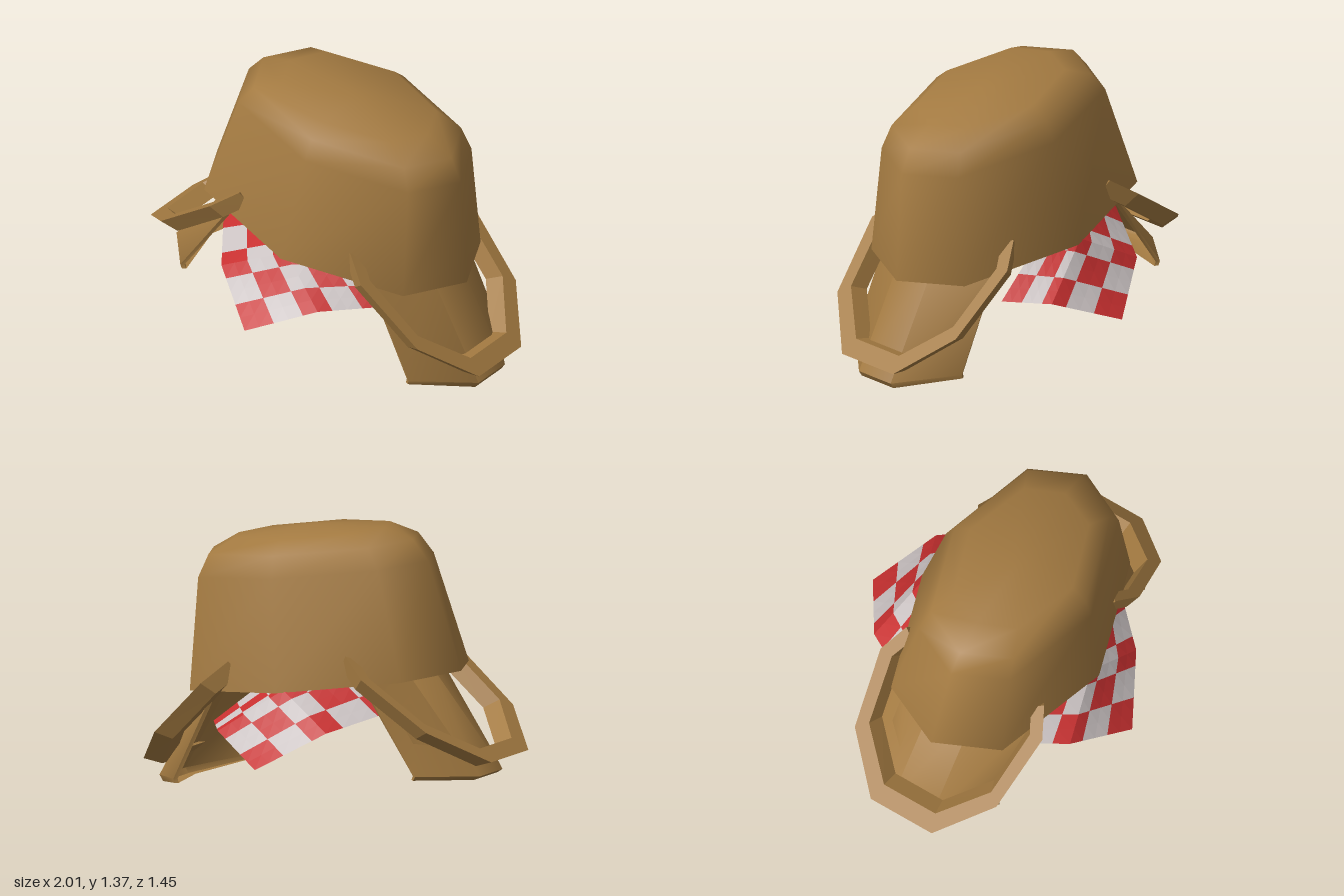
import * as THREE from 'three';
import { toCreasedNormals } from 'three/addons/utils/BufferGeometryUtils.js';

const material = (name, color) => {
  const m = new THREE.MeshStandardMaterial({ color, side: THREE.DoubleSide });
  m.name = name;
  return m;
};

// Skin a list of equal-length closed loops, cap both ends, smooth below the crease angle
function loft(loops, crease) {
  const n = loops[0].length, pos = loops.flat(2), idx = [];
  for (let r = 0; r < loops.length - 1; r++) {
    for (let i = 0; i < n; i++) {
      const a = r * n + i, b = r * n + (i + 1) % n;
      idx.push(a, a + n, b, b, a + n, b + n);
    }
  }
  for (const r of [0, loops.length - 1]) {
    const c = pos.length / 3;
    for (let k = 0; k < 3; k++) pos.push(loops[r].reduce((s, p) => s + p[k], 0) / n);
    for (let i = 0; i < n; i++) {
      const a = r * n + i, b = r * n + (i + 1) % n;
      idx.push(c, ...(r === 0 ? [a, b] : [b, a]));
    }
  }
  const g = new THREE.BufferGeometry();
  g.setAttribute('position', new THREE.Float32BufferAttribute(pos, 3));
  g.setIndex(idx);
  return toCreasedNormals(g, crease);
}

// Upturned basket body: eight-sided oval loops [height, half length, half width]
function basketGeometry() {
  const oval = [[1, 0], [0.8, 0.63], [0, 1], [-0.8, 0.63], [-1, 0], [-0.8, -0.63], [0, -1], [0.8, -0.63]];
  const rings = [[0, 0.757, 0.5], [0.545, 0.645, 0.41], [0.652, 0.572, 0.37], [0.718, 0.418, 0.29], [0.745, 0.06, 0.04]];
  return loft(rings.map(([h, l, w]) => oval.map(([u, v]) => [u * l, h, v * w])), 1.0);
}

// Arched lid panel; each row is [side y, middle y, side u, middle u]
function lidGeometry(rows) {
  const t = 0.018;
  const loops = rows.map(([ySide, yMid, side, mid]) => {
    const outer = [[side, ySide, -0.36], [mid, yMid, -0.107], [mid, yMid, 0.107], [side, ySide, 0.36]];
    const inner = outer.map(([u, y, v]) => [u - t, y, v * 0.97]).reverse();
    return [...outer, ...inner];
  });
  return loft(loops, 0.9);
}

// U-shaped handle sloping down along +x, its underside drawn inwards
function handleGeometry(slope, stretch) {
  const outer = [[0.33, 0.39], [0.445, 0.457], [0.743, 0.4], [0.945, 0.172]];
  const inner = [[0.36, 0.335], [0.45, 0.39], [0.705, 0.345], [0.875, 0.145]];
  const flip = ([u, v]) => [u, -v];
  const outline = [...outer, ...outer.map(flip).reverse(), ...inner.map(flip), ...[...inner].reverse()];
  const k = stretch / Math.cos(slope);
  const shape = new THREE.Shape(outline.map(([u, v]) => new THREE.Vector2((u - 0.33) * k, v)));
  const g = new THREE.ExtrudeGeometry(shape, { depth: 0.08, bevelEnabled: false });
  const p = g.attributes.position;
  for (let i = 0; i < p.count; i++) {
    if (p.getZ(i) < 0.04) p.setXY(i, p.getX(i) * 0.93, p.getY(i) * 0.92);
  }
  g.computeVertexNormals();
  return g.translate(0, 0, -0.05).rotateX(-Math.PI / 2).rotateZ(-slope);
}

// Chequered cloth corner: squares run along the two free edges that meet at the tip
function clothGeometry(edgeA, edgeB, twist, parity) {
  const n = 5, pos = [];
  const along = (e, t) => {
    const i = t < 0.5 ? 0 : 1, f = t * 2 - i;
    return e[i].map((c, k) => c + (e[i + 1][k] - c) * f);
  };
  const point = (i, j) => {
    const a = i / n, b = j / n, p = along(edgeA, a), q = along(edgeB, b);
    return p.map((c, k) => c + q[k] - edgeA[0][k] + twist[k] * a * b);
  };
  // Each square is cut in four so that it follows the bend of the cloth
  for (let i = 0; i < n; i += 0.5) {
    for (let j = 0; j < n; j += 0.5) {
      const cell = Math.floor(i) + Math.floor(j);
      if (cell > n || cell % 2 !== parity) continue;
      const a = point(i, j), b = point(i + 0.5, j), c = point(i + 0.5, j + 0.5), d = point(i, j + 0.5);
      pos.push(...a, ...c, ...b, ...a, ...d, ...c);
    }
  }
  const g = new THREE.BufferGeometry();
  g.setAttribute('position', new THREE.Float32BufferAttribute(pos, 3));
  g.computeVertexNormals();
  return g;
}

export function createModel() {
  const wicker = material('wicker brown', 0xa37a41);
  const red = material('cloth red', 0xc62f2f);
  const white = material('cloth white', 0xcac2c2);
  const model = new THREE.Group();
  model.name = 'upturnedBasket';
  const add = (parent, name, geometry, mat) => {
    const mesh = new THREE.Mesh(geometry, mat);
    mesh.name = name;
    parent.add(mesh);
    return mesh;
  };
  const yaw = THREE.MathUtils.degToRad(-10);

  // Body, tilted towards its left end
  const body = add(model, 'basketBody', basketGeometry(), wicker);
  body.position.set(0.04, 0.6, 0.02);
  body.rotation.set(0, yaw, THREE.MathUtils.degToRad(-8));

  // A hanging lid and a handle at each end
  const ends = [
    { name: 'left', turn: 0, slope: 0.76, stretch: 1, handleY: 0.68,
      lid: [[0.06, 0.0, 0.66, 0.88], [0.08, 0.03, 0.665, 0.9], [0.6, 0.6, 0.41, 0.58]] },
    { name: 'right', turn: Math.PI, slope: 0.61, stretch: 1.13, handleY: 0.775,
      lid: [[0.22, 0.2, 0.7, 0.89], [0.24, 0.22, 0.71, 0.92], [0.68, 0.68, 0.4, 0.52]] },
  ];
  for (const e of ends) {
    const end = new THREE.Group();
    end.name = e.name + 'End';
    end.position.set(0.04, 0, 0.02);
    end.rotation.y = yaw + e.turn;
    add(end, e.name + 'Lid', lidGeometry(e.lid), wicker);
    add(end, e.name + 'Handle', handleGeometry(e.slope, e.stretch), wicker).position.set(0.315, e.handleY, 0);
    model.add(end);
  }

  // Cloth corners hanging out at the front and back
  const cloths = [
    { name: 'front', twist: [0, 0.06, 0.36],
      a: [[-0.14, 0.28, 0.72], [-0.38, 0.46, 0.49], [-0.56, 0.55, 0.1]],
      b: [[-0.14, 0.28, 0.72], [0.2, 0.42, 0.61], [0.5, 0.42, 0.4]] },
    { name: 'back', twist: [0, 0.15, -0.32],
      a: [[0.13, 0.27, -0.73], [0.41, 0.4, -0.51], [0.52, 0.4, -0.29]],
      b: [[0.13, 0.27, -0.73], [-0.19, 0.45, -0.6], [-0.5, 0.55, -0.25]] },
  ];
  for (const c of cloths) {
    add(model, c.name + 'ClothRed', clothGeometry(c.a, c.b, c.twist, 0), red);
    add(model, c.name + 'ClothWhite', clothGeometry(c.a, c.b, c.twist, 1), white);
  }
  return model;
}
